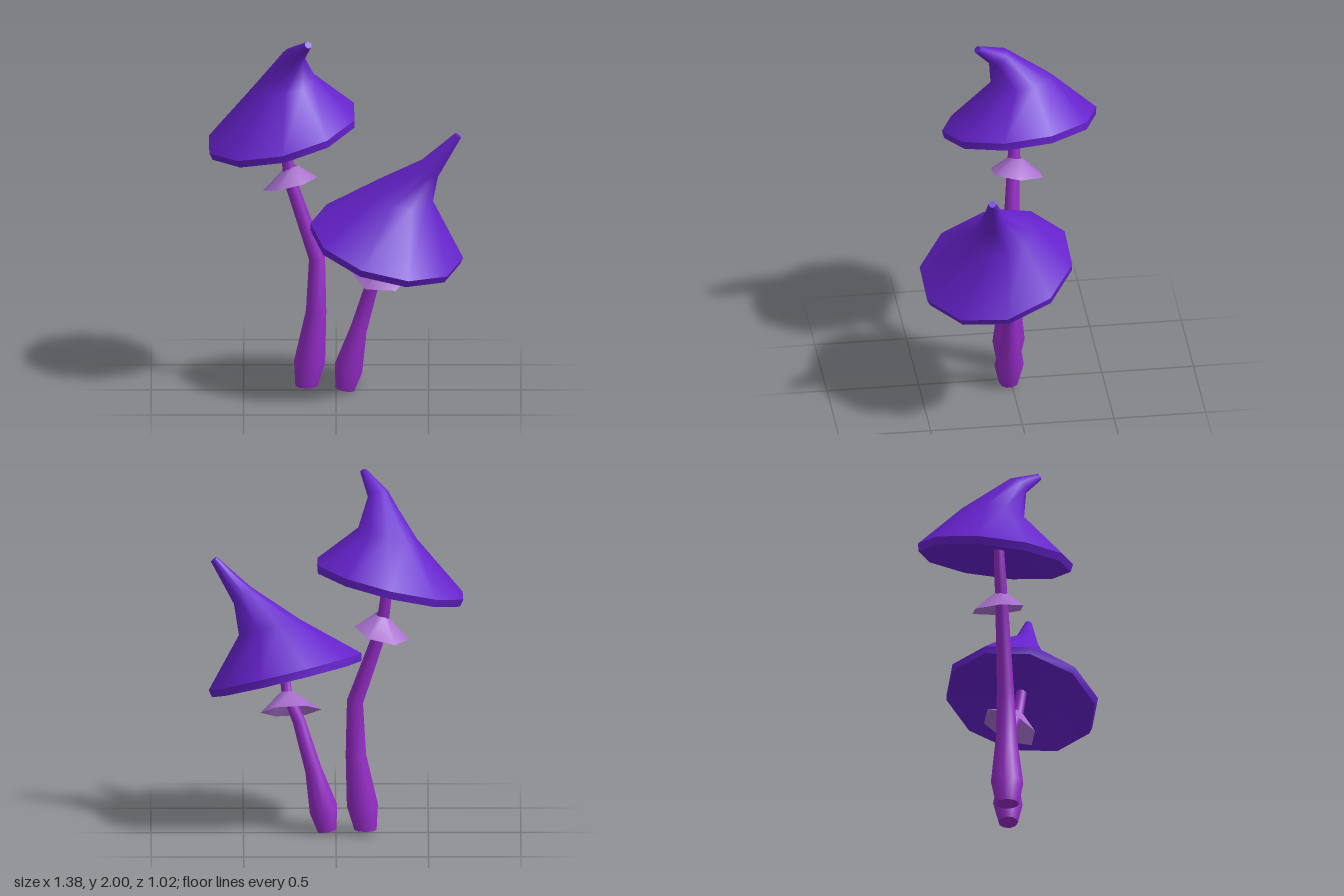
import * as THREE from 'three';

const UP = new THREE.Vector3(0, 1, 0);

// Smooth skin over rings listed base to tip.
// ring = [x, y, z, radius, tiltX, tiltZ]; its axis points along (tiltX, 1, tiltZ)
function loft(name, rings, sides, phase, material) {
  const pos = [], index = [];
  rings.forEach(([x, y, z, r, tx = 0, tz = 0], k) => {
    const q = new THREE.Quaternion().setFromUnitVectors(UP, new THREE.Vector3(tx, 1, tz).normalize());
    for (let i = 0; i < sides; i++) {
      const a = phase + (i / sides) * Math.PI * 2;
      const p = new THREE.Vector3(Math.sin(a) * r, 0, Math.cos(a) * r).applyQuaternion(q);
      pos.push(p.x + x, p.y + y, p.z + z);
      if (k === 0) continue;
      const b = k * sides, c = b - sides, j = (i + 1) % sides;
      index.push(c + i, c + j, b + j, c + i, b + j, b + i);
    }
  });
  const geo = new THREE.BufferGeometry();
  geo.setAttribute('position', new THREE.Float32BufferAttribute(pos, 3));
  geo.setIndex(index);
  geo.computeVertexNormals();
  const mesh = new THREE.Mesh(geo, material);
  mesh.name = name;
  return mesh;
}

export function createModel() {
  const capPurple = new THREE.MeshStandardMaterial({ color: 0x6622cc });
  const stemViolet = new THREE.MeshStandardMaterial({ color: 0x962cc8 });
  const skirtLilac = new THREE.MeshStandardMaterial({ color: 0xa86fce, side: THREE.DoubleSide });
  capPurple.name = 'capPurple';
  stemViolet.name = 'stemViolet';
  skirtLilac.name = 'skirtLilac';

  function mushroom(name, { stem, skirt, rim, crown, phase }) {
    const g = new THREE.Group();
    g.name = name;

    // Stem with a flat foot
    const [fx, fy, fz, fr, ftx, ftz] = stem[0];
    g.add(loft('stem', stem, 10, 0, stemViolet));
    g.add(loft('stemFoot', [[fx, fy, fz, 0, ftx, ftz], [fx, fy, fz, fr, ftx, ftz]], 10, 0, stemViolet));

    // Open six-sided skirt
    g.add(loft('skirt', skirt, 6, Math.PI / 6, skirtLilac));

    // Rings of the cap set along its tilted axis
    const [x, y, z, r, tx, tz] = rim;
    const axis = new THREE.Vector3(tx, 1, tz).normalize();
    const at = (h, radius) => [x + axis.x * h, y + axis.y * h, z + axis.z * h, radius, tx, tz];
    const tip = crown[crown.length - 1];
    const point = [...tip];
    point[3] = 0;
    const top = at(0.02, r), low = at(-0.022, r * 0.98);
    g.add(loft('capTop', [top, ...crown], 10, phase, capPurple));
    g.add(loft('capTip', [tip, point], 10, phase, capPurple));
    g.add(loft('capRim', [low, top], 10, phase, capPurple));
    g.add(loft('capUnderside', [at(0.035, r * 0.52), low], 10, phase, capPurple));
    g.add(loft('capHollow', [at(0.045, 0), at(0.035, r * 0.52)], 10, phase, capPurple));
    return g;
  }

  const model = new THREE.Group();
  model.name = 'mushrooms';

  model.add(mushroom('tallMushroom', {
    phase: 0,
    stem: [
      [-0.16, 0.025, -0.01, 0.063], [-0.143, 0.16, -0.01, 0.088], [-0.108, 0.44, -0.01, 0.058],
      [-0.103, 0.74, -0.015, 0.046, -0.15], [-0.25, 1.17, -0.05, 0.035, -0.2], [-0.29, 1.5, -0.07, 0.028],
    ],
    skirt: [[-0.248, 1.14, -0.07, 0.152, -0.25, -0.12], [-0.245, 1.24, -0.06, 0.036, -0.25, -0.12]],
    rim: [-0.29, 1.43, -0.09, 0.424, -0.24, 0.1],
    crown: [
      [-0.28, 1.7, -0.1, 0.17, -0.2, 0.12],
      [-0.23, 1.885, 0.035, 0.06, 0.3, 0.7],
      [-0.15, 1.985, 0.16, 0.02, 0.6, 1.2],
    ],
  }));

  model.add(mushroom('shortMushroom', {
    phase: Math.PI / 10,
    stem: [
      [0.047, 0.012, 0.015, 0.053, 0.2], [0.067, 0.13, 0.015, 0.08, 0.25], [0.122, 0.35, 0.02, 0.047, 0.3],
      [0.2, 0.62, 0.03, 0.036, 0.35, 0.2], [0.265, 0.76, 0.09, 0.03, 0.3, 0.3], [0.285, 0.93, 0.115, 0.028],
    ],
    skirt: [[0.243, 0.672, 0.042, 0.165, 0.06, 0.47], [0.262, 0.765, 0.085, 0.04, 0.06, 0.47]],
    rim: [0.27, 0.855, 0.11, 0.425, 0.25, 0.23],
    crown: [
      [0.36, 1.13, 0.09, 0.17, 0.27, 0.23],
      [0.505, 1.29, 0.155, 0.066, 1.05, 0.2],
      [0.66, 1.485, 0.185, 0.02, 0.8, 0.1],
    ],
  }));

  return model;
}
